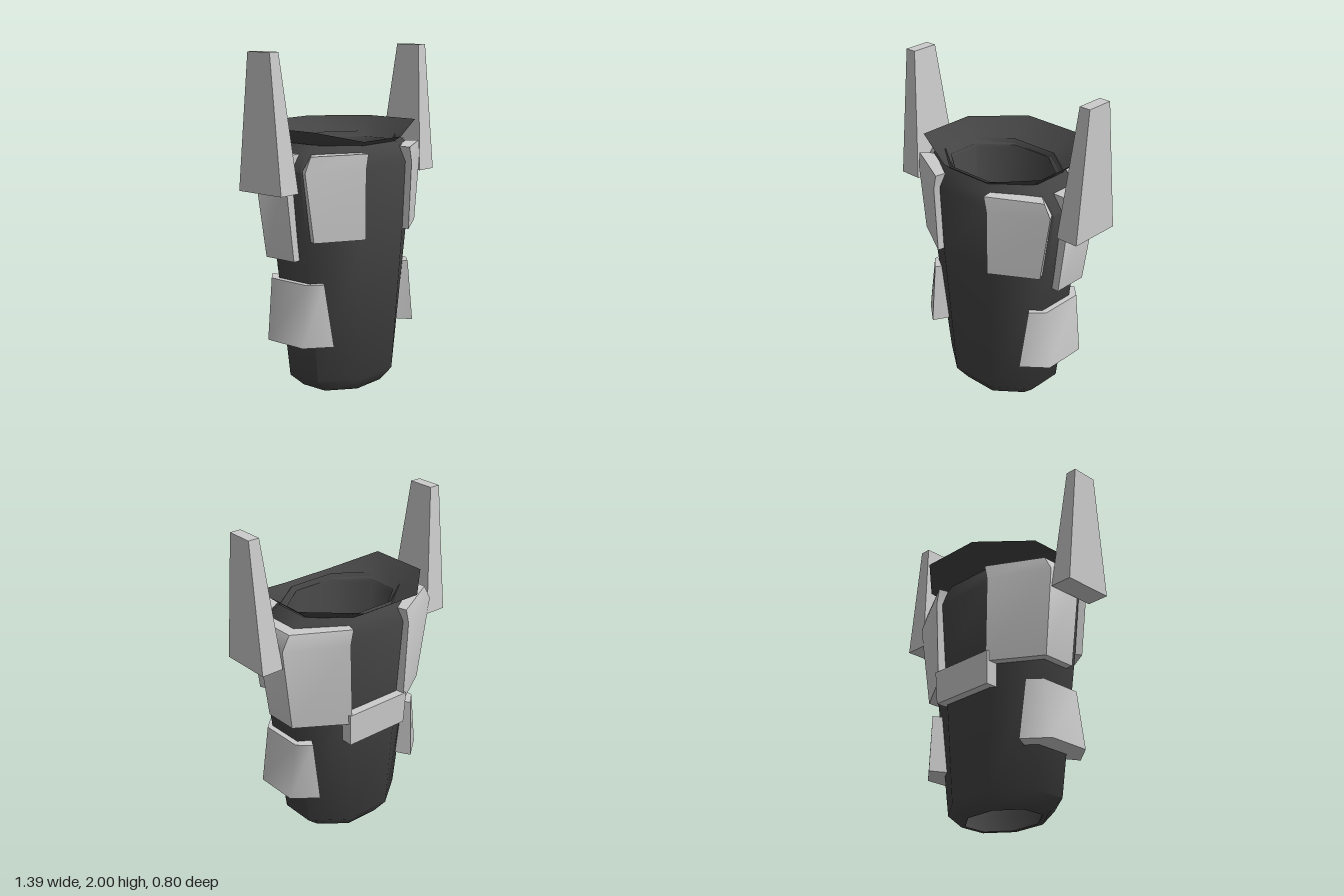
import * as THREE from 'three';
import { toCreasedNormals } from 'three/addons/utils/BufferGeometryUtils.js';

const light = new THREE.MeshStandardMaterial({ color: 0xcccccc });
const dark = new THREE.MeshStandardMaterial({ color: 0x444444, side: THREE.DoubleSide });

// Signed area of a loop seen from above
const area = (pts) => pts.reduce((sum, p, i) => {
  const q = pts[(i + 1) % pts.length];
  return sum + p[0] * q[2] - q[0] * p[2];
}, 0);

// Skin a stack of closed loops [x, y, z], optionally capping both ends
function loft(rings, caps, crease) {
  if (area(rings[0]) > 0) rings = rings.map((r) => [...r].reverse());
  const n = rings[0].length;
  const index = [];
  for (let i = 0; i < rings.length - 1; i++) {
    for (let j = 0; j < n; j++) {
      const a = i * n + j, b = i * n + (j + 1) % n;
      index.push(a, b, b + n, a, b + n, a + n);
    }
  }
  if (caps) {
    for (const [row, top] of [[0, false], [rings.length - 1, true]]) {
      const ring = rings[row];
      const flat = ring.map((p) => new THREE.Vector2(p[0], p[2]));
      for (const t of THREE.ShapeUtils.triangulateShape(flat, [])) {
        const facesUp = area(t.map((k) => ring[k])) < 0;
        const order = facesUp === top ? t : [t[0], t[2], t[1]];
        index.push(...order.map((k) => row * n + k));
      }
    }
  }
  const geo = new THREE.BufferGeometry();
  geo.setAttribute('position', new THREE.Float32BufferAttribute(rings.flat(2), 3));
  geo.setIndex(index);
  return toCreasedNormals(geo, crease);
}

// Octagon with half width w, spanning back to front in z
function octagon(y, w, back, front) {
  const c = (back + front) / 2, d = (front - back) / 2, k = 0.414;
  return [[k, 1], [1, k], [1, -k], [k, -1], [-k, -1], [-1, -k], [-1, k], [-k, 1]]
    .map(([x, z]) => [x * w, y, c + z * d]);
}

// Levels are [y, [[x, z], ...]]; side -1 mirrors the part
const levels = (list, side = 1) =>
  list.map(([y, pts]) => pts.map(([x, z]) => [x * side, y, z]));

export function createModel() {
  const model = new THREE.Group();
  const add = (name, geo, mat = light) => {
    const mesh = new THREE.Mesh(geo, mat);
    mesh.name = name;
    model.add(mesh);
  };

  // Hollow body: up the outside, over the rim, down the inside
  const profile = [
    [0, 0.26, -0.16, 0.25], [0.08, 0.35, -0.22, 0.31], [0.94, 0.465, -0.25, 0.345],
    [1.34, 0.51, -0.27, 0.355], [1.43, 0.445, -0.25, 0.33], [1.475, 0.365, -0.23, 0.305],
    [1.43, 0.315, -0.205, 0.285], [0.08, 0.27, -0.17, 0.25], [0, 0.235, -0.14, 0.22],
    [0, 0.26, -0.16, 0.25],
  ];
  add('body', loft(profile.map((p) => octagon(...p)), false, 1.1), dark);

  // Flared collar, lower at the front
  const half = [[0.17, 1.49, 0.345], [0.46, 1.56, 0.23], [0.46, 1.56, -0.146], [0.19, 1.56, -0.4]];
  const rim = [...half, ...half.map(([x, y, z]) => [-x, y, z]).reverse()];
  add('collar', loft([octagon(1.445, 0.32, -0.21, 0.29), rim], false, 0.9), dark);

  // Strip across the lower back
  add('backStrip', loft(levels([
    [0.68, [[-0.21, -0.295], [0.21, -0.295], [0.21, -0.22], [-0.21, -0.22]]],
    [0.88, [[-0.22, -0.303], [0.22, -0.303], [0.22, -0.23], [-0.22, -0.23]]],
  ]), true, 0.3));

  for (const [label, side] of [['left', 1], ['right', -1]]) {
    // Chest plate on the front diagonal
    add(label + 'ChestPlate', loft(levels([
      [0.94, [[0.2, 0.385], [0.465, 0.23], [0.44, 0.18], [0.19, 0.335]]],
      [1.34, [[0.21, 0.395], [0.525, 0.22], [0.495, 0.17], [0.2, 0.345]]],
      [1.43, [[0.19, 0.395], [0.495, 0.235], [0.43, 0.18], [0.175, 0.32]]],
    ], side), true, 0.3));

    // Shoulder plate wrapping from the side to the back
    add(label + 'ShoulderPlate', loft(levels([
      [0.82, [[0.495, 0.105], [0.495, -0.11], [0.2, -0.297], [0.19, -0.23], [0.445, -0.08], [0.445, 0.105]]],
      [1.34, [[0.565, 0.105], [0.565, -0.13], [0.22, -0.307], [0.21, -0.26], [0.505, -0.085], [0.505, 0.105]]],
      [1.43, [[0.515, 0.105], [0.515, -0.13], [0.2, -0.307], [0.18, -0.24], [0.44, -0.075], [0.44, 0.105]]],
    ], side), true, 0.75));

    // Flared hip plate
    add(label + 'HipPlate', loft(levels([
      [0.33, [[0.37, 0.295], [0.51, 0.18], [0.51, -0.09], [0.37, -0.205], [0.31, -0.1], [0.365, -0.06], [0.365, 0.15], [0.31, 0.19]]],
      [0.69, [[0.39, 0.24], [0.465, 0.17], [0.465, -0.1], [0.39, -0.17], [0.355, -0.11], [0.42, -0.07], [0.42, 0.16], [0.355, 0.2]]],
    ], side), true, 0.9));

    // Tapered upright spike
    const slab = (inner, outer, back, front) =>
      [[inner, front], [outer, front], [outer, back], [inner, back]];
    add(label + 'Spike', loft(levels([
      [1.23, slab(0.557, 0.695, -0.12, 0.2)],
      [2, slab(0.627, 0.695, -0.04, 0.125)],
    ], side), true, 0.3));
  }
  return model;
}
